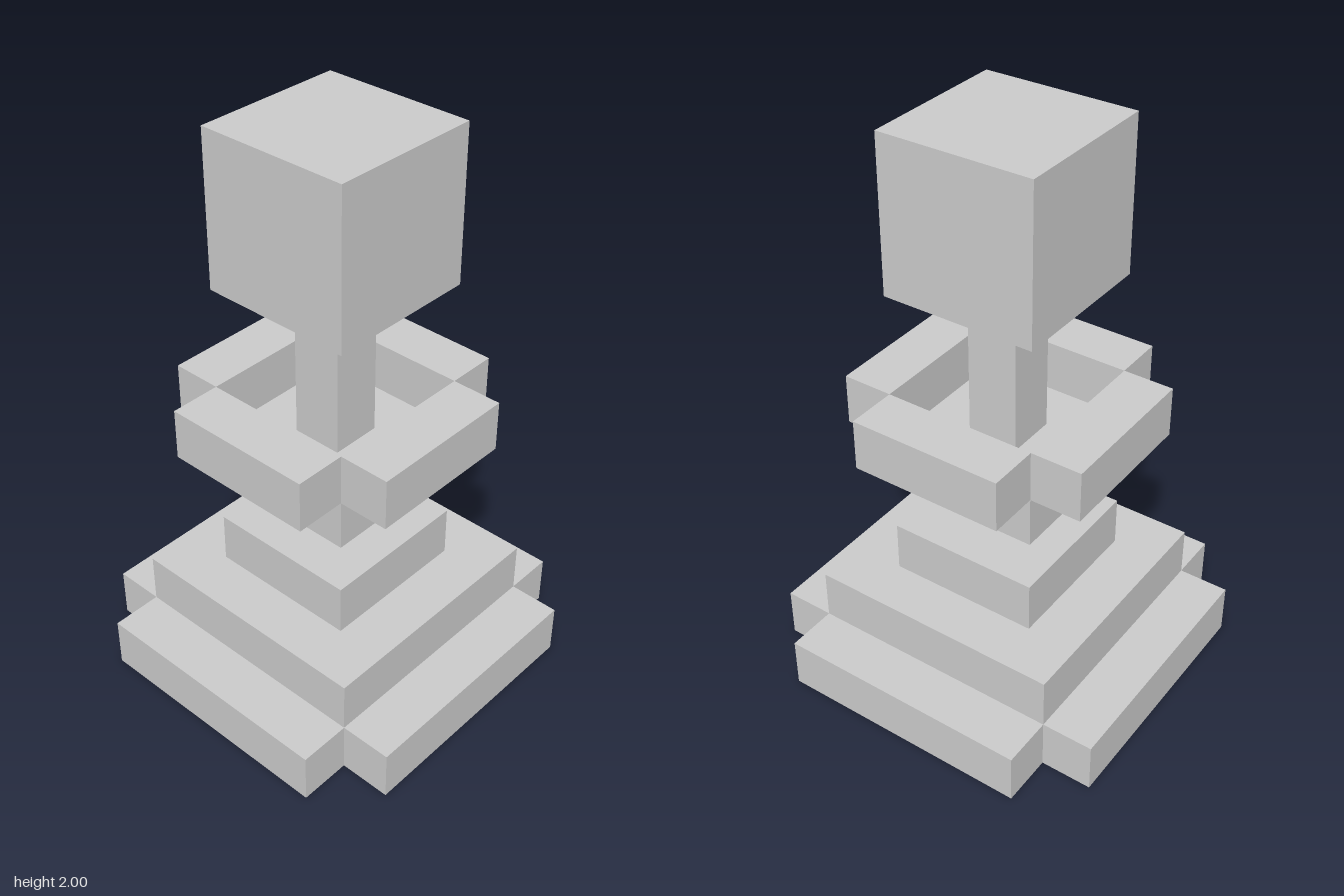
import * as THREE from 'three';

const U = 2 / 11; // one grid cell; the model is 11 cells tall
const material = new THREE.MeshStandardMaterial({ color: 0xcccccc, flatShading: true });

// Box sized in cells, standing on level y
function block(name, w, h, d, x, y, z) {
  const mesh = new THREE.Mesh(new THREE.BoxGeometry(w * U, h * U, d * U), material);
  mesh.position.set(x * U, (y + h / 2) * U, z * U);
  mesh.name = name;
  return mesh;
}

// Four bars around an open square, meeting only at their corner edges
function barRing(name, inner, y) {
  const ring = new THREE.Group();
  ring.name = name;
  const offset = (inner + 1) / 2;
  for (const s of [-1, 1]) {
    ring.add(block(s > 0 ? 'leftBar' : 'rightBar', 1, 1, inner, s * offset, y, 0));
    ring.add(block(s > 0 ? 'frontBar' : 'backBar', inner, 1, 1, 0, y, s * offset));
  }
  return ring;
}

function square(target, size) {
  const h = (size * U) / 2;
  return target.moveTo(-h, -h).lineTo(h, -h).lineTo(h, h).lineTo(-h, h).closePath();
}

// Square slab with a square hole through it
function frame(name, outer, inner, y) {
  const shape = square(new THREE.Shape(), outer);
  shape.holes.push(square(new THREE.Path(), inner));
  const geometry = new THREE.ExtrudeGeometry(shape, { depth: U, bevelEnabled: false });
  geometry.rotateX(-Math.PI / 2);
  const mesh = new THREE.Mesh(geometry, material);
  mesh.position.y = y * U;
  mesh.name = name;
  return mesh;
}

export function createModel() {
  const model = new THREE.Group();
  model.name = 'steppedPedestal';

  // Hollow stepped base
  model.add(barRing('baseRing', 5, 0));
  model.add(frame('lowerStep', 5, 3, 1));
  model.add(block('upperStep', 3, 1, 3, 0, 2, 0));

  // Post running from the ground to the head
  model.add(block('post', 1, 8, 1, 0, 0, 0));

  // Open cup around the post
  model.add(block('cupFloor', 3, 1, 3, 0, 4, 0));
  model.add(barRing('cupRim', 3, 5));

  // Cube on top
  model.add(block('headCube', 3, 3, 3, 0, 8, 0));

  return model;
}
